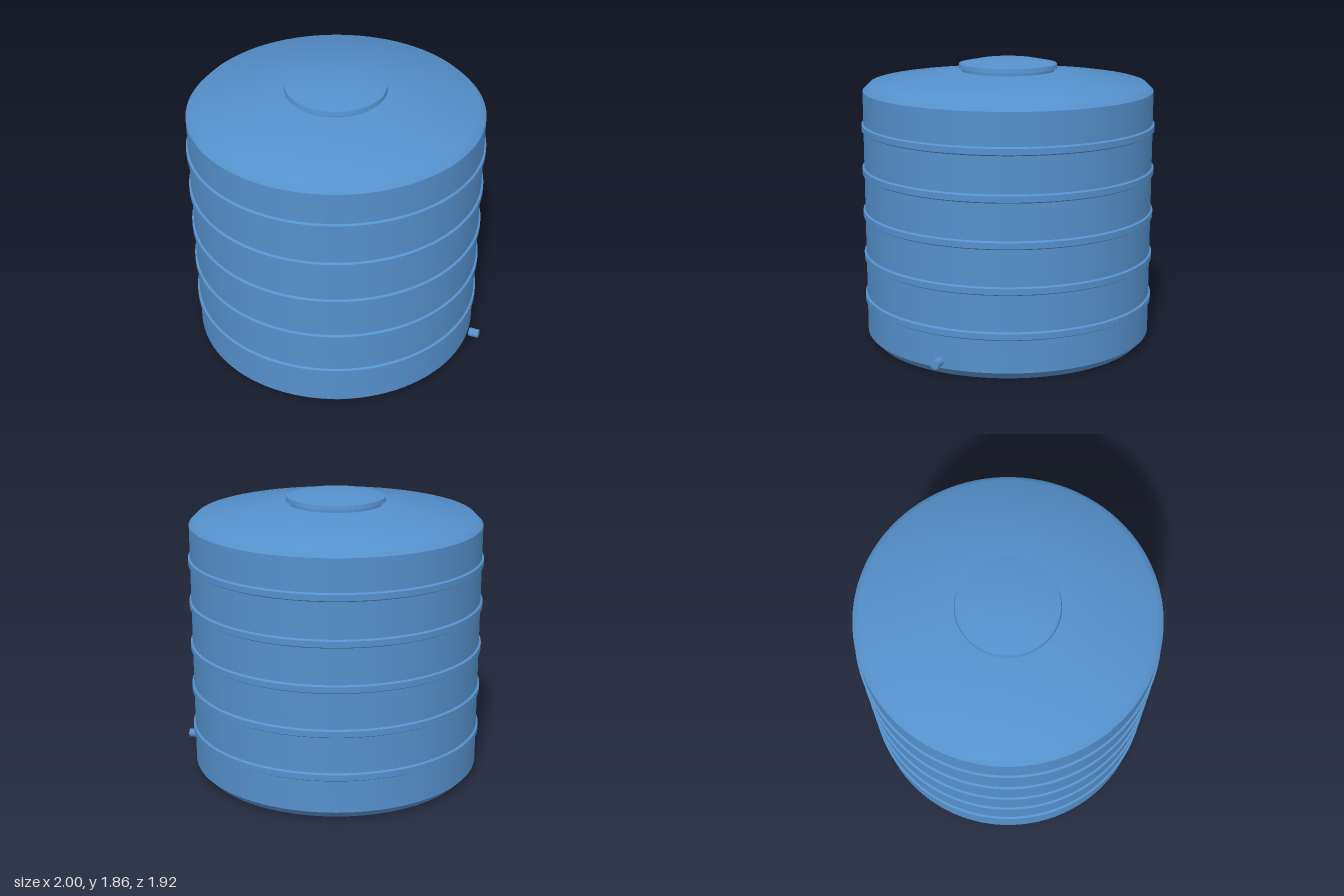
import * as THREE from 'three';
import { toCreasedNormals } from 'three/addons/utils/BufferGeometryUtils.js';

const SEGMENTS = 96;

// Revolve [radius, height] pairs, listed from bottom to top
function revolve(profile) {
  const points = profile.map(([r, y]) => new THREE.Vector2(r, y));
  return toCreasedNormals(new THREE.LatheGeometry(points, SEGMENTS), 0.7);
}

export function createModel() {
  const group = new THREE.Group();
  group.name = 'waterTank';
  const blue = new THREE.MeshStandardMaterial({ color: 0x5590cb });
  blue.name = 'tankBlue';

  const add = (name, geometry, parent) => {
    const mesh = new THREE.Mesh(geometry, blue);
    mesh.name = name;
    parent.add(mesh);
    return mesh;
  };

  // Everything round shares the tank's axis, offset to make room for the outlet
  const tank = new THREE.Group();
  tank.name = 'tank';
  tank.position.x = -0.038;
  group.add(tank);

  // Shell with chamfered base and shoulder, and a shallow conical roof
  add('shell', revolve([
    [0, 0], [0.9, 0], [0.948, 0.05], [0.948, 1.665], [0.903, 1.71], [0.3, 1.786], [0, 1.786],
  ]), tank);

  // Five raised hoops
  const hoop = revolve([[0.945, -0.029], [0.961, -0.019], [0.961, 0.019], [0.945, 0.029]]);
  for (let i = 0; i < 5; i++) {
    add('hoop' + (i + 1), hoop, tank).position.y = 0.288 + i * 0.2855;
  }

  // Neck and overhanging lid
  add('neck', revolve([[0.303, 1.77], [0.303, 1.81]]), tank);
  add('lid', revolve([
    [0, 1.806], [0.324, 1.806], [0.318, 1.833], [0.19, 1.858], [0, 1.861],
  ]), tank);

  // Outlet stub standing just off the wall
  const outlet = add('outlet', new THREE.CylinderGeometry(0.029, 0.029, 0.067, 24), group);
  outlet.rotation.z = -Math.PI / 2;
  outlet.position.set(0.9665, 0.1, 0);

  return group;
}
